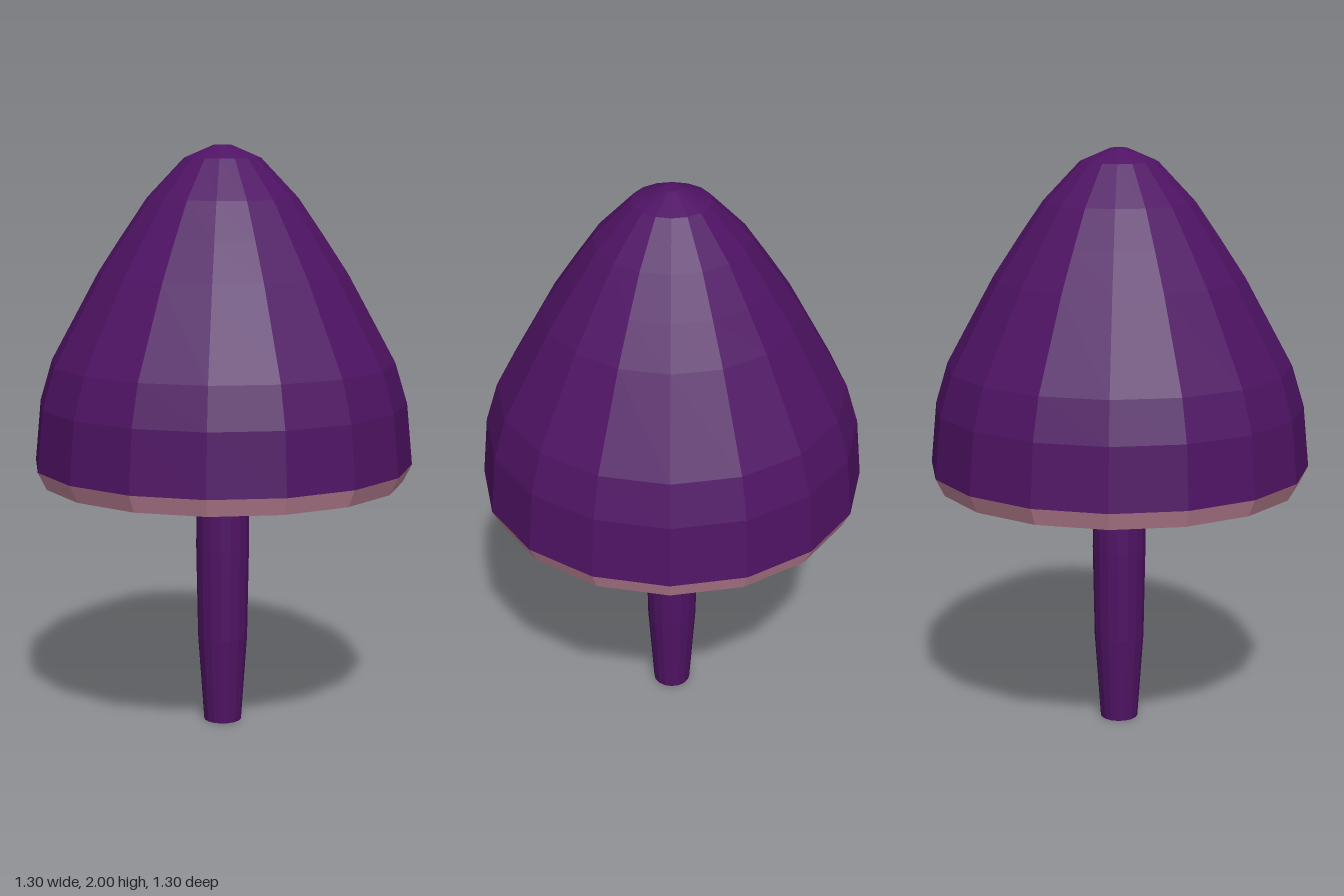
import * as THREE from 'three';

const SIDES = 16;

// Faceted solid of revolution from [radius, height] pairs, bottom to top
function turned(name, profile, material) {
  const points = profile.map(([r, y]) => new THREE.Vector2(r, y));
  const mesh = new THREE.Mesh(new THREE.LatheGeometry(points, SIDES), material);
  mesh.name = name;
  return mesh;
}

export function createModel() {
  const group = new THREE.Group();
  group.name = 'mushroom';
  const purple = new THREE.MeshStandardMaterial({ color: 0x4f1364, flatShading: true });
  const pink = new THREE.MeshStandardMaterial({ color: 0xd291a6, flatShading: true });

  // Tapered stem, closed at the foot
  group.add(turned('stem', [[0, 0], [0.065, 0], [0.086, 0.3], [0.092, 0.62], [0.09, 0.86]], purple));

  // Flat underside of the cap
  group.add(turned('capUnderside', [[0, 0.86], [0.62, 0.86]], purple));

  // Bevelled pale rim
  group.add(turned('capRim', [[0.62, 0.86], [0.65, 0.92]], pink));

  // Domed cap
  group.add(turned('cap', [
    [0.65, 0.92], [0.63, 1.13], [0.588, 1.27], [0.425, 1.57],
    [0.34, 1.7], [0.255, 1.825], [0.13, 1.957], [0.03, 2], [0, 2],
  ], purple));

  return group;
}
